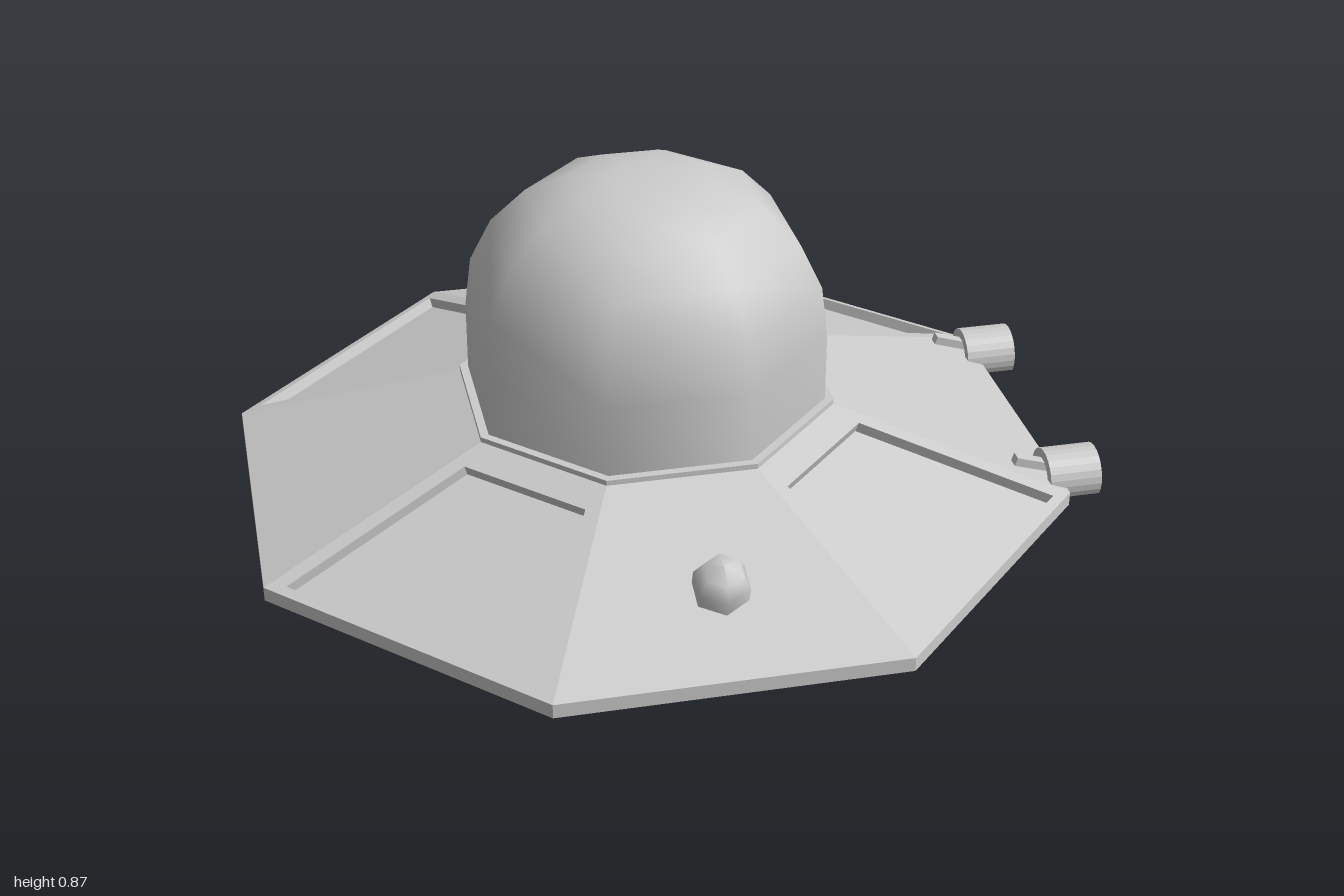
import * as THREE from 'three';

const SIDES = 8;
const STEP = (Math.PI * 2) / SIDES;
const APOTHEM = Math.cos(STEP / 2);
const RIM_R = 0.967, RIM_Y = 0.17;      // outer edge of the sloping deck
const COLLAR_R = 0.43, COLLAR_Y = 0.343; // inner edge of the sloping deck
const A0 = RIM_R * APOTHEM, A1 = COLLAR_R * APOTHEM;
const SLOPE = (COLLAR_Y - RIM_Y) / (A0 - A1);
const TILT = Math.atan(SLOPE);

const smooth = new THREE.MeshStandardMaterial({ color: 0xcccccc });
const flat = new THREE.MeshStandardMaterial({ color: 0xcccccc, flatShading: true });

function add(parent, name, geometry, material) {
  const mesh = new THREE.Mesh(geometry, material);
  mesh.name = name;
  parent.add(mesh);
  return mesh;
}

function lathe(points, sides = SIDES) {
  return new THREE.LatheGeometry(points.map(([r, y]) => new THREE.Vector2(r, y)), sides);
}

// Point on a deck face that looks towards +z: u across, a outwards
const deckY = (a) => RIM_Y + (A0 - a) * SLOPE;
const deckPoint = (u, a) => new THREE.Vector3(u, deckY(a), a);

function trapezoid(outerA, innerA, margin) {
  const half = (a) => a * Math.tan(STEP / 2) - margin;
  return [
    deckPoint(-half(outerA), outerA), deckPoint(half(outerA), outerA),
    deckPoint(half(innerA), innerA), deckPoint(-half(innerA), innerA),
  ];
}

// One deck face, optionally with a sunken panel
function deckFace(sunken) {
  const pos = [];
  const quad = (a, b, c, d) => [a, b, c, a, c, d].forEach((p) => pos.push(p.x, p.y, p.z));
  const outer = trapezoid(A0, A1, 0);
  if (sunken) {
    const inner = trapezoid(0.872, 0.467, 0.036);
    const depth = new THREE.Vector3(0, Math.cos(TILT), Math.sin(TILT)).multiplyScalar(-0.025);
    const floor = inner.map((p) => p.clone().add(depth));
    for (let i = 0; i < 4; i++) {
      const j = (i + 1) % 4;
      quad(outer[i], outer[j], inner[j], inner[i]);
      quad(inner[i], inner[j], floor[j], floor[i]);
    }
    quad(...floor);
  } else {
    quad(...outer);
  }
  const geometry = new THREE.BufferGeometry();
  geometry.setAttribute('position', new THREE.Float32BufferAttribute(pos, 3));
  geometry.computeVertexNormals();
  return geometry;
}

// Horseshoe-section barrel, open below, with a short mounting arm
function thruster() {
  const group = new THREE.Group();
  group.name = 'thruster';
  const start = -Math.PI * 0.17, end = Math.PI * 1.17;
  const arch = new THREE.Shape();
  arch.absarc(0, 0, 0.062, start, end, false);
  arch.absarc(0, 0, 0.038, end, start, true);
  const barrel = new THREE.ExtrudeGeometry(arch, { depth: 0.12, bevelEnabled: false, curveSegments: 8 });
  barrel.translate(0, 0, -0.06);
  add(group, 'thrusterBarrel', barrel, smooth);
  const arm = add(group, 'thrusterArm', new THREE.BoxGeometry(0.025, 0.02, 0.1), flat);
  arm.position.set(0, 0.035, -0.08);
  arm.rotation.x = 0.3;
  return group;
}

export function createModel() {
  const model = new THREE.Group();
  model.name = 'flyingSaucer';
  const ship = new THREE.Group();
  ship.name = 'ship';
  ship.position.x = -0.033;
  model.add(ship);

  // Underside: lower disc, recess, sloping belly and rim
  add(ship, 'lowerHull', lathe([
    [0.4, 0], [0.565, 0.045], [0.565, 0.08], [0.67, 0.09],
    [0.68, 0.072], [RIM_R, 0.138], [RIM_R, RIM_Y],
  ]), flat);
  add(ship, 'bottomDish', lathe([[0, 0.06], [0.15, 0.052], [0.29, 0.03], [0.4, 0]]), smooth);

  // Sloping deck, a sunken panel on every other face
  for (let k = 0; k < SIDES; k++) {
    const face = add(ship, k % 2 ? 'deckFace' : 'panelFace', deckFace(k % 2 === 0), flat);
    face.rotation.y = (k + 0.5) * STEP;
  }

  // Collar and dome
  add(ship, 'collar', lathe([[COLLAR_R, 0.335], [COLLAR_R, 0.355], [0.4, 0.355]]), flat);
  add(ship, 'dome', lathe([
    [0.41, 0.35], [0.41, 0.515], [0.395, 0.63], [0.345, 0.73],
    [0.265, 0.81], [0.165, 0.855], [0.075, 0.868], [0, 0.868],
  ]), smooth);

  // Small beacon on the front right deck face
  const beaconSide = new THREE.Group();
  beaconSide.name = 'beaconMount';
  beaconSide.rotation.y = -STEP / 2;
  const beacon = add(beaconSide, 'beacon', lathe([
    [0.062, -0.02], [0.062, 0.035], [0.043, 0.07], [0, 0.085],
  ], 6), smooth);
  beacon.position.copy(deckPoint(0.015, 0.685));
  beacon.rotation.x = TILT;
  ship.add(beaconSide);

  // Pair of thrusters on the rim of the left front face
  const thrusters = new THREE.Group();
  thrusters.name = 'thrusters';
  thrusters.rotation.y = STEP * 1.5;
  for (const side of [-1, 1]) {
    const unit = thruster();
    unit.position.set(side * 0.29, 0.173, 0.915);
    thrusters.add(unit);
  }
  ship.add(thrusters);

  return model;
}
